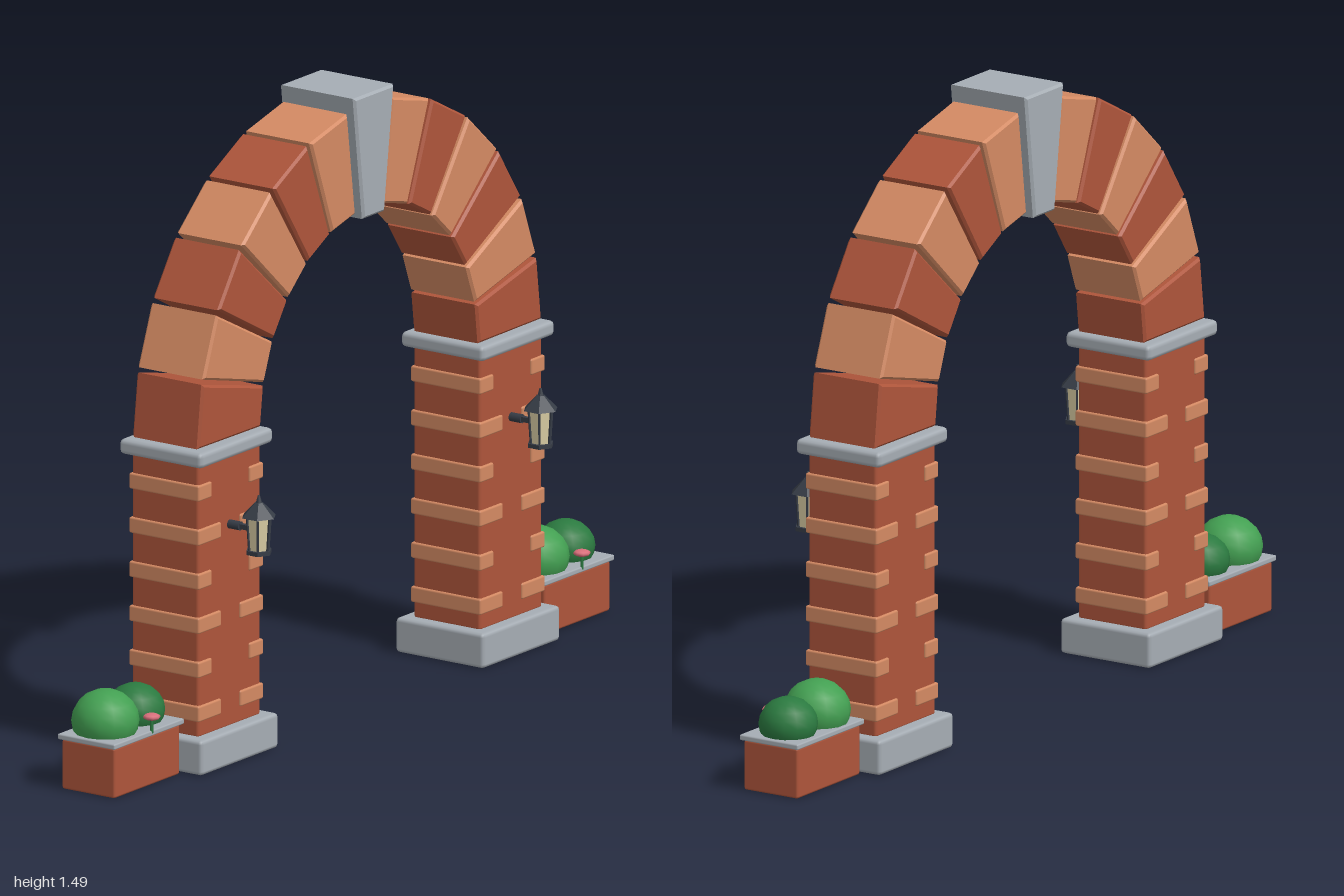
import * as THREE from 'three';
import { RoundedBoxGeometry } from 'three/addons/geometries/RoundedBoxGeometry.js';

const mat = (name, color, extra = {}) =>
  Object.assign(new THREE.MeshStandardMaterial({ color, ...extra }), { name });

export function createModel() {
  const brick = mat('dark brick', 0xae553b);
  const paleBrick = mat('pale brick', 0xd48a63);
  const stone = mat('grey stone', 0xa6adb4);
  const iron = mat('black iron', 0x363c46);
  const glass = mat('lamp glass', 0xdccfa6);
  const leafLight = mat('light leaves', 0x43a052);
  const leafDark = mat('dark leaves', 0x2b7a40);
  const pink = mat('pink petals', 0xd9707c);

  const Z = -0.047; // centre plane of the masonry
  const model = new THREE.Group();
  model.name = 'gardenArch';

  const add = (parent, name, geometry, material, x = 0, y = 0, z = 0) => {
    const mesh = new THREE.Mesh(geometry, material);
    mesh.name = name;
    mesh.position.set(x, y, z);
    parent.add(mesh);
    return mesh;
  };
  const group = (name, x = 0, y = 0, z = 0) => {
    const g = new THREE.Group();
    g.name = name;
    g.position.set(x, y, z);
    model.add(g);
    return g;
  };
  const block = (w, h, d, r) => new RoundedBoxGeometry(w, h, d, 1, r);
  const hex = (rTop, rBottom, h) =>
    new THREE.CylinderGeometry(rTop, rBottom, h, 6).toNonIndexed();

  // Four-cornered stone with chamfered edges, extruded through the wall
  const wedge = (corners, depth, bevel) => {
    const shape = new THREE.Shape(corners.map(([x, y]) => new THREE.Vector2(x, y)));
    const g = new THREE.ExtrudeGeometry(shape, {
      depth: depth - 2 * bevel, bevelEnabled: true, bevelSegments: 1,
      bevelSize: bevel, bevelThickness: bevel, bevelOffset: -bevel,
    });
    return g.translate(0, 0, -depth / 2 + bevel);
  };

  // Piers with plinth, cap and alternating corner bricks
  for (const side of [-1, 1]) {
    const pier = group(side > 0 ? 'leftPier' : 'rightPier', side * 0.563, 0, Z);
    add(pier, 'plinth', block(0.31, 0.085, 0.254, 0.01), stone, 0, 0.0475, 0);
    add(pier, 'shaft', block(0.25, 0.665, 0.192, 0.008), brick, 0, 0.4175, 0);
    add(pier, 'cap', block(0.292, 0.038, 0.238, 0.012), stone, 0, 0.764, 0);
    for (let row = 0; row < 6; row++) {
      const w = row % 2 ? 0.055 : 0.092;
      for (const s of [-1, 1])
        add(pier, 'cornerBrick', block(w, 0.039, 0.202, 0.005), paleBrick,
          s * (0.13 - w / 2), 0.145 + row * 0.107, 0);
    }
  }

  // Ring of voussoirs around the opening, six on each side of the keystone
  const arch = group('archRing', 0, 0.78, Z);
  const step = Math.PI / 13, gap = 0.009;
  for (let i = 0; i < 13; i++) {
    if (i === 6) continue;
    const a = i * step + gap, b = (i + 1) * step - gap;
    const at = (r, t) => [r * Math.cos(t), r * Math.sin(t)];
    add(arch, 'voussoir', wedge([at(0.436, a), at(0.687, a), at(0.687, b), at(0.436, b)], 0.192, 0.006),
      i % 2 ? paleBrick : brick);
  }
  add(arch, 'keystone',
    wedge([[-0.043, 0.418], [0.043, 0.418], [0.08, 0.718], [-0.08, 0.718]], 0.216, 0.006), stone);

  // Hexagonal wall lanterns
  for (const side of [-1, 1]) {
    const lamp = group('lantern', side * 0.563, 0, 0.133);
    const piece = (name, g, m, y) => {
      g.computeVertexNormals();
      return add(lamp, name, g, m, 0, y, 0);
    };
    piece('lampBase', hex(0.032, 0.032, 0.01), iron, 0.525);
    piece('lampGlass', hex(0.03, 0.024, 0.084), glass, 0.57);
    piece('lampRoof', hex(0.01, 0.043, 0.034), iron, 0.627);
    piece('lampFinial', hex(0.003, 0.008, 0.018), iron, 0.652);
    for (let i = 0; i < 6; i++) {
      const t = (i * Math.PI) / 3;
      const bar = add(lamp, 'lampBar', new THREE.BoxGeometry(0.005, 0.086, 0.005), iron,
        0.027 * Math.sin(t), 0.57, 0.027 * Math.cos(t));
      bar.rotation.set(0.07, t, 0, 'YXZ');
    }
    add(lamp, 'lampArm', new THREE.BoxGeometry(0.012, 0.012, 0.075), iron, 0, 0.578, -0.05);
    add(lamp, 'wallMount', new THREE.CylinderGeometry(0.011, 0.011, 0.032, 10).rotateX(Math.PI / 2),
      iron, 0, 0.578, -0.068);
  }

  // Planters with two clipped bushes and a small flower
  for (const side of [-1, 1]) {
    const planter = group(side > 0 ? 'leftPlanter' : 'rightPlanter', side * 0.86, 0, -0.05);
    add(planter, 'trough', block(0.262, 0.122, 0.152, 0.006), brick, 0, 0.066, 0);
    add(planter, 'rim', block(0.28, 0.014, 0.165, 0.004), stone, 0, 0.133, 0);
    const bush = (name, m, x, y, z, rx, ry) =>
      add(planter, name, new THREE.SphereGeometry(1, 14, 10).scale(rx, ry, rx), m, x, y, z);
    bush('largeBush', leafLight, -0.058, 0.168, -0.003, 0.08, 0.074);
    bush('smallBush', leafDark, 0.066, 0.165, -0.006, 0.07, 0.063);
    add(planter, 'flowerStem', new THREE.CylinderGeometry(0.004, 0.004, 0.04, 6), leafDark, 0.012, 0.153, 0.08);
    add(planter, 'flower', new THREE.SphereGeometry(0.021, 8, 6).scale(1, 0.4, 1), pink, 0.012, 0.173, 0.08);
  }

  return model;
}
